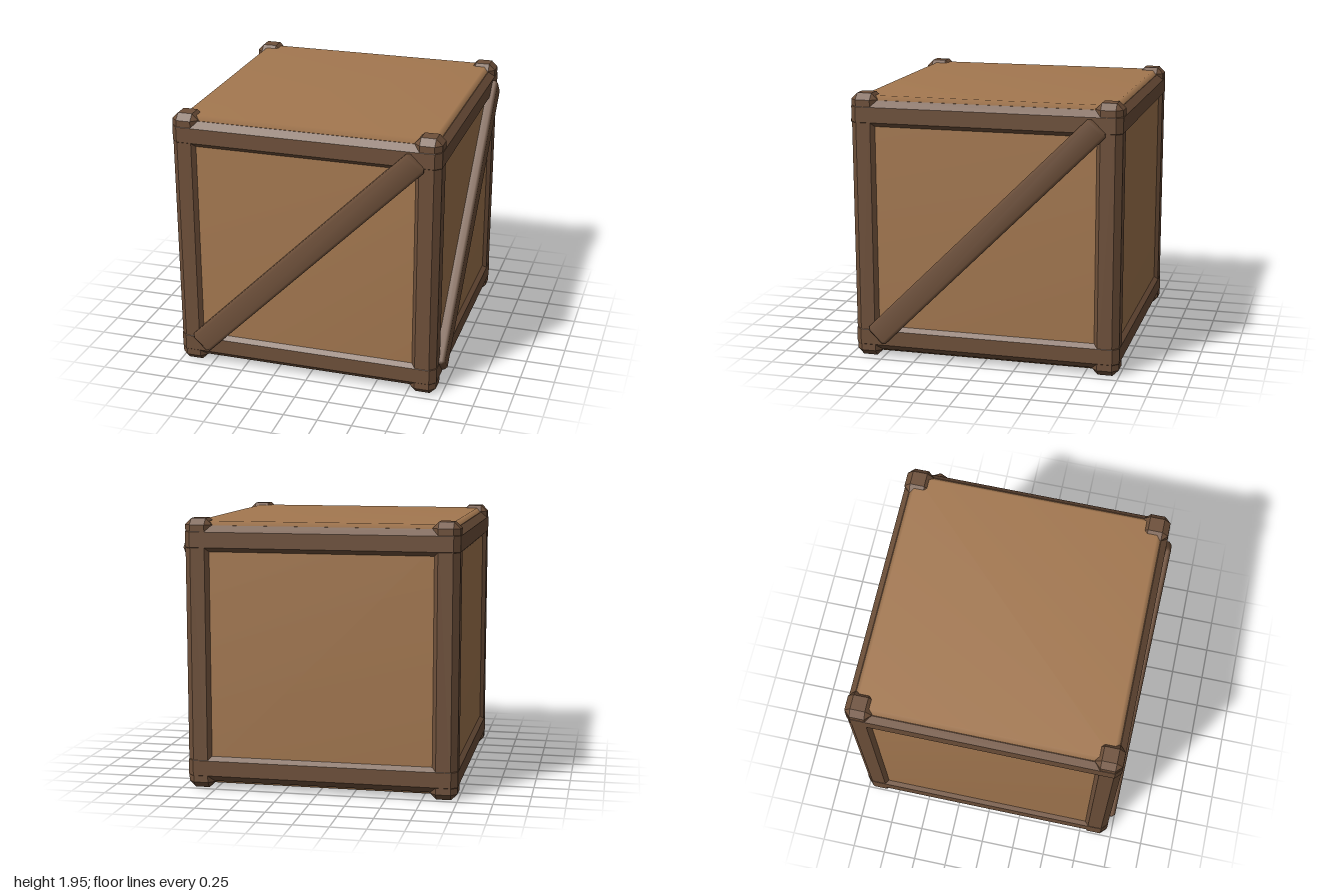
import * as THREE from 'three';
import { ConvexGeometry } from 'three/addons/geometries/ConvexGeometry.js';
import { mergeVertices } from 'three/addons/utils/BufferGeometryUtils.js';

// Box with every edge and corner chamfered by c; optionally softly shaded
function chamferBox(w, h, d, c, smooth = false) {
  const half = [w / 2, h / 2, d / 2];
  const points = [];
  for (const sx of [-1, 1]) for (const sy of [-1, 1]) for (const sz of [-1, 1]) {
    for (let axis = 0; axis < 3; axis++) {
      const p = half.map((v, i) => (i === axis ? v : v - c));
      points.push(new THREE.Vector3(p[0] * sx, p[1] * sy, p[2] * sz));
    }
  }
  let geometry = new ConvexGeometry(points);
  if (smooth) {
    geometry.deleteAttribute('normal');
    geometry = mergeVertices(geometry, 1e-4);
    geometry.computeVertexNormals();
  }
  return geometry;
}

export function createModel() {
  const model = new THREE.Group();
  model.name = 'crate';
  const panelWood = new THREE.MeshStandardMaterial({ color: 0xa47850 });
  panelWood.name = 'light panel wood';
  const frameWood = new THREE.MeshStandardMaterial({ color: 0x6e503a });
  frameWood.name = 'dark frame wood';

  const add = (name, geometry, material, x, y, z) => {
    const mesh = new THREE.Mesh(geometry, material);
    mesh.name = name;
    mesh.position.set(x, y, z);
    model.add(mesh);
    return mesh;
  };

  // The box sits slightly off centre because two sides carry braces
  const C = -0.02, midY = 0.975, bevel = 0.045;

  // Panelled body
  add('panels', chamferBox(1.9, 1.9, 1.9, 0.05, true), panelWood, C, 0.98, C);

  // Corner posts, standing proud at top and bottom
  const postGeometry = chamferBox(0.195, 1.95, 0.195, bevel);
  // Horizontal rails
  const railX = chamferBox(1.96, 0.2, 0.2, bevel);
  const railZ = chamferBox(0.2, 0.2, 1.96, bevel);
  for (const a of [-1, 1]) for (const b of [-1, 1]) {
    add('post', postGeometry, frameWood, C + a * 0.88, midY, C + b * 0.88);
    const railY = midY + a * 0.825;
    add('railAlongX', railX, frameWood, C, railY, C + b * 0.88);
    add('railAlongZ', railZ, frameWood, C + b * 0.88, railY, C);
  }

  // Diagonal braces on the front and on the +x side
  const braceGeometry = chamferBox(2.31, 0.175, 0.14, 0.022, true);
  const frontBrace = add('frontBrace', braceGeometry, frameWood, C, 0.978, 0.93);
  frontBrace.rotation.z = Math.PI / 4;
  const sideBrace = add('sideBrace', braceGeometry, frameWood, 0.93, 0.978, C);
  sideBrace.rotation.set(0, Math.PI / 2, Math.PI / 4, 'YXZ');

  return model;
}
